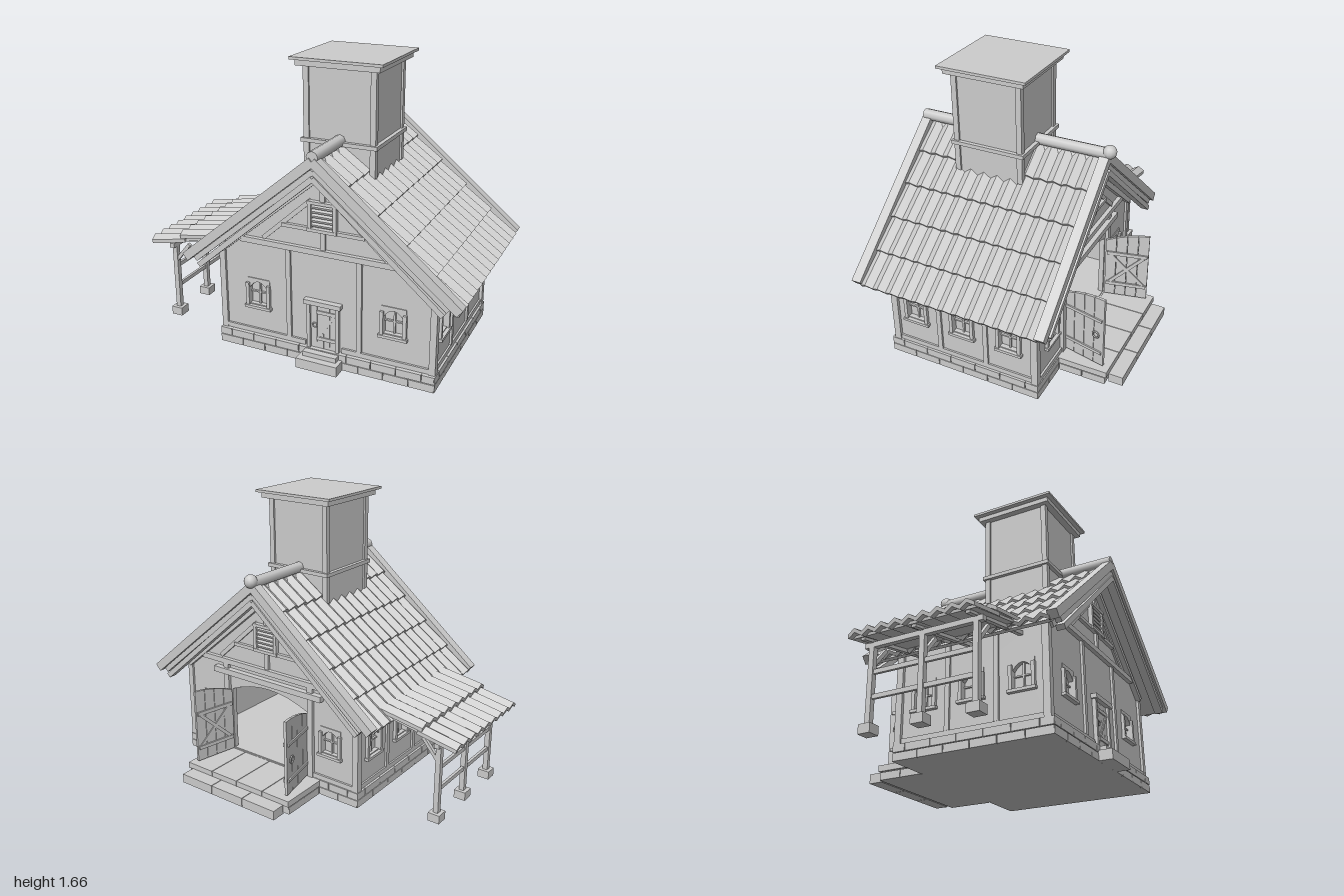
import * as THREE from 'three';

const stone = new THREE.MeshStandardMaterial({ color: 0xcccccc });
stone.name = 'pale grey';
const C = 0.195; // x of the house's centre line

function add(parent, name, geo) {
  const m = new THREE.Mesh(geo, stone);
  m.name = name;
  parent.add(m);
  return m;
}
function group(parent, name, x = 0, y = 0, z = 0, ry = 0) {
  const g = new THREE.Group();
  g.name = name;
  g.position.set(x, y, z);
  g.rotation.y = ry;
  parent.add(g);
  return g;
}
// box given by its extents
function box(p, name, x0, x1, y0, y1, z0, z1) {
  const m = add(p, name, new THREE.BoxGeometry(x1 - x0, y1 - y0, z1 - z0));
  m.position.set((x0 + x1) / 2, (y0 + y1) / 2, (z0 + z1) / 2);
  return m;
}
// slanted bar between two points of an upright plane
function bar(p, name, x1, y1, x2, y2, w, z0, z1) {
  const m = add(p, name, new THREE.BoxGeometry(Math.hypot(x2 - x1, y2 - y1), w, z1 - z0));
  m.position.set((x1 + x2) / 2, (y1 + y2) / 2, (z0 + z1) / 2);
  m.rotation.z = Math.atan2(y2 - y1, x2 - x1);
  return m;
}
function poly(pts) {
  return new THREE.Shape(pts.map(([x, y]) => new THREE.Vector2(x, y)));
}
function arch(x, half, y0, ySide, yTop) {
  const h = new THREE.Path();
  h.moveTo(x - half, y0);
  h.lineTo(x + half, y0);
  h.lineTo(x + half, ySide);
  h.quadraticCurveTo(x, 2 * yTop - ySide, x - half, ySide);
  h.lineTo(x - half, y0);
  return h;
}
function slab(p, name, shape, z0, z1) {
  const m = add(p, name, new THREE.ExtrudeGeometry(shape, { depth: z1 - z0, bevelEnabled: false, curveSegments: 8 }));
  m.position.z = z0;
  return m;
}

// arched window with frame, sill, mullions and a recessed pane
function addWindow(wall, x) {
  const g = group(wall, 'window', x);
  const face = poly([[-0.07, 0.265], [0.07, 0.265], [0.07, 0.43], [-0.07, 0.43]]);
  face.holes.push(arch(0, 0.055, 0.272, 0.37, 0.41));
  slab(g, 'windowFrame', face, 0, 0.005);
  box(g, 'windowPane', -0.06, 0.06, 0.265, 0.415, -0.028, -0.022);
  box(g, 'mullion', -0.005, 0.005, 0.27, 0.41, -0.022, -0.01);
  box(g, 'crossBar', -0.055, 0.055, 0.338, 0.346, -0.022, -0.01);
  for (const s of [-1, 1]) box(g, 'jamb', s * 0.065 - 0.01, s * 0.065 + 0.01, 0.265, 0.4, 0, 0.018);
  box(g, 'windowSill', -0.082, 0.082, 0.25, 0.266, -0.01, 0.025);
}

// wall slab with holes; local z = 0 is the outer face
function addWall(house, name, x, z, ry, outline, windows, holes = []) {
  const g = group(house, name, x, 0, z, ry);
  const shape = poly(outline);
  windows.forEach((w) => shape.holes.push(arch(w, 0.055, 0.272, 0.37, 0.41)));
  holes.forEach((h) => shape.holes.push(h));
  slab(g, name + 'Panel', shape, -0.03, 0);
  windows.forEach((w) => addWindow(g, w));
  return g;
}

// timber framing and louvred vent of a gable
function addGable(g) {
  box(g, 'tieBeam', -0.5, 0.5, 0.65, 0.682, -0.01, 0.025);
  box(g, 'collarBeam', -0.24, 0.24, 0.78, 0.8, 0, 0.02);
  box(g, 'kingPost', -0.014, 0.014, 0.68, 0.78, 0, 0.015);
  box(g, 'kingPost', -0.014, 0.014, 0.95, 1.12, 0, 0.015);
  for (const s of [-1, 1]) {
    bar(g, 'wallRafter', 0, 1.1, s * 0.62, 0.58, 0.03, 0, 0.03);
    bar(g, 'gableBrace', s * 0.07, 0.95, s * 0.36, 0.69, 0.025, 0, 0.012);
    box(g, 'ventSide', s * 0.073 - 0.01, s * 0.073 + 0.01, 0.79, 0.945, 0, 0.025);
  }
  box(g, 'ventTop', -0.085, 0.085, 0.935, 0.952, 0, 0.028);
  box(g, 'ventBottom', -0.085, 0.085, 0.782, 0.8, 0, 0.028);
  for (let i = 0; i < 5; i++) box(g, 'louvre', -0.065, 0.065, 0.811 + i * 0.025, 0.825 + i * 0.025, 0, 0.018).rotation.x = 0.4;
}

// corrugated tile course from (x0,y0) down to (x1,y1)
function tileRow(p, x0, y0, x1, y1, zMin, zMax, teeth) {
  const w = zMax - zMin, top = [], under = [];
  for (let i = 0; i <= teeth * 2; i++) {
    const u = -w / 2 + (w * i) / (teeth * 2), v = i % 2 ? 0.012 : -0.012;
    top.push([u, v]);
    under.unshift([u, v - 0.022]);
  }
  const d = new THREE.Vector3(x1 - x0, y1 - y0, 0), len = d.length();
  d.normalize();
  const n = new THREE.Vector3(-d.y, d.x, 0);
  if (n.y < 0) n.negate();
  const m = add(p, 'tileCourse', new THREE.ExtrudeGeometry(poly(top.concat(under)), { depth: len, bevelEnabled: false }));
  m.applyMatrix4(new THREE.Matrix4().makeBasis(n.clone().cross(d), n, d).setPosition(x0, y0, (zMin + zMax) / 2));
}

// row of blocks along x or z
function bricks(p, axis, a0, a1, b0, b1, y0, y1, n, shift) {
  const step = (a1 - a0) / n;
  for (let i = 0; i <= n; i++) {
    const s = Math.max(a0, a0 + (i - shift) * step), e = Math.min(a1, a0 + (i + 1 - shift) * step);
    if (e - s < 0.01) continue;
    if (axis === 'x') box(p, 'foundationBlock', s + 0.002, e - 0.002, y0, y1, b0, b1);
    else box(p, 'foundationBlock', b0, b1, y0, y1, s + 0.002, e - 0.002);
  }
}

export function createModel() {
  const model = new THREE.Group();
  model.name = 'timberHouse';
  const house = group(model, 'house', C);

  // foundation, rear porch and steps
  const base = group(house, 'foundation');
  box(base, 'floor', -0.638, 0.638, 0, 0.088, -0.334, 0.592);
  box(base, 'porchCore', -0.37, 0.37, 0, 0.07, -0.615, -0.33);
  [[0, 0.044, 0], [0.048, 0.09, 0.5]].forEach(([y0, y1, sh]) => {
    bricks(base, 'x', -0.645, 0.645, 0.56, 0.602, y0, y1, 9, sh);
    bricks(base, 'x', -0.645, -0.38, -0.342, -0.3, y0, y1, 2, sh);
    bricks(base, 'x', 0.38, 0.645, -0.342, -0.3, y0, y1, 2, sh);
    for (const s of [-1, 1]) {
      bricks(base, 'z', -0.342, 0.602, s * 0.628 - 0.019, s * 0.628 + 0.019, y0, y1, 6, sh);
      if (!sh) bricks(base, 'z', -0.62, -0.342, s * 0.36 - 0.02, s * 0.36 + 0.02, y0, y1, 2, sh);
    }
  });
  bricks(base, 'x', -0.38, 0.38, -0.62, -0.58, 0, 0.044, 5, 0);
  bricks(base, 'x', -0.385, 0.385, -0.63, -0.33, 0.05, 0.086, 4, 0);
  bricks(base, 'x', -0.35, 0.35, -0.715, -0.632, 0, 0.055, 3, 0);
  box(base, 'doorStep', -0.122, 0.122, 0, 0.058, 0.6, 0.68);
  box(base, 'doorThreshold', -0.1, 0.1, 0.058, 0.085, 0.57, 0.64);

  // walls
  const gable = [[-0.625, 0.088], [0.625, 0.088], [0.625, 0.63], [0, 1.15], [-0.625, 0.63]];
  const side = [[-0.445, 0.088], [0.445, 0.088], [0.445, 0.64], [-0.445, 0.64]];
  const front = addWall(house, 'frontWall', 0, 0.57, 0, gable, [-0.403, 0.403]);
  const back = addWall(house, 'backWall', 0, -0.325, Math.PI, gable, [-0.45, 0.45], [arch(0, 0.285, 0.092, 0.485, 0.55)]);
  const walls = [1, -1].map((s) => addWall(house, s > 0 ? 'leftWall' : 'rightWall', s * 0.625, 0.1225, (s * Math.PI) / 2,
    side, [-0.303, -0.008, 0.283].map((x) => x * s)));
  box(house, 'ceiling', -0.6, 0.6, 0.6, 0.62, -0.295, 0.54);
  for (const x of [-0.625, 0.625]) for (const z of [0.565, -0.318])
    box(house, 'cornerPost', x - 0.018, x + 0.018, 0.09, 0.64, z - 0.02, z + 0.02);
  for (const x of [-0.21, 0.21]) box(front, 'wallPost', x - 0.014, x + 0.014, 0.12, 0.65, 0, 0.014);
  for (const x of [-0.315, 0.315]) box(back, 'wallPost', x - 0.018, x + 0.018, 0.09, 0.65, 0, 0.02);
  box(back, 'lintel', -0.4, 0.4, 0.585, 0.62, 0, 0.035);
  for (const s of [-1, 1]) {
    box(front, 'sillPlate', s < 0 ? -0.61 : 0.11, s < 0 ? -0.11 : 0.61, 0.092, 0.12, 0, 0.012);
    box(back, 'sillPlate', s < 0 ? -0.61 : 0.32, s < 0 ? -0.32 : 0.61, 0.092, 0.12, 0, 0.012);
  }
  walls.forEach((w, i) => {
    const s = i ? -1 : 1;
    box(w, 'sillPlate', -0.43, 0.43, 0.092, 0.12, 0, 0.01);
    for (const x of [-0.155, 0.138]) box(w, 'wallPost', s * x - 0.014, s * x + 0.014, 0.12, 0.64, 0, 0.012);
  });
  addGable(front);
  addGable(back);

  // front door
  const door = group(front, 'frontDoor');
  for (let i = 0; i < 4; i++) box(door, 'doorPlank', -0.075 + i * 0.038, -0.039 + i * 0.038, 0.085, 0.36, 0, 0.008);
  for (const s of [-1, 1]) box(door, 'doorJamb', s * 0.086 - 0.01, s * 0.086 + 0.01, 0.085, 0.36, 0, 0.022);
  box(door, 'doorLintel', -0.11, 0.11, 0.357, 0.383, 0, 0.035);
  for (const y of [0.15, 0.31]) box(door, 'hingeStrap', -0.04, 0.075, y - 0.01, y + 0.01, 0.008, 0.015);
  bar(door, 'doorBrace', -0.03, 0.16, 0.065, 0.3, 0.016, 0.008, 0.013);
  add(door, 'doorRing', new THREE.TorusGeometry(0.013, 0.004, 6, 12)).position.set(-0.05, 0.23, 0.014);

  // open rear doors: planks with arched tops
  const topY = (u) => 0.545 - 0.06 * (1 - u / 0.27) ** 2;
  for (const s of [-1, 1]) {
    const leaf = group(back, 'rearDoor', s * 0.285, 0, 0.012, s * 1.78);
    for (let i = 0; i < 4; i++) {
      const a = i * 0.066 + 0.001, b = a + 0.063;
      const pts = [[-s * a, 0.095], [-s * b, 0.095], [-s * b, topY(b)], [-s * a, topY(a)]];
      slab(leaf, 'rearDoorPlank', poly(pts), -0.008, 0.008);
    }
    for (const y of [0.18, 0.4]) {
      bar(leaf, 'rearDoorStrap', 0, y, -s * 0.25, y, 0.018, 0.008, 0.016);
      bar(leaf, 'rearDoorBatten', -s * 0.01, y, -s * 0.255, y, 0.022, -0.018, -0.008);
    }
    bar(leaf, 'rearDoorBrace', -s * 0.03, 0.19, -s * 0.235, 0.39, 0.02, -0.016, -0.008);
    bar(leaf, 'rearDoorBrace', -s * 0.03, 0.39, -s * 0.235, 0.19, 0.02, -0.015, -0.008);
    add(leaf, 'rearDoorRing', new THREE.TorusGeometry(0.02, 0.005, 6, 12)).position.set(-s * 0.215, 0.3, 0.016);
  }

  // main roof
  const roof = group(house, 'roof');
  for (const s of [-1, 1]) {
    for (let i = 0; i < 5; i++) {
      const a = i / 5, b = (i + 1) / 5;
      tileRow(roof, s * 0.79 * a, 1.2 - 0.66 * a, s * (0.79 * b + 0.012), 1.212 - 0.66 * b, -0.405, 0.66, 13);
    }
    bar(roof, 'roofDeck', 0, 1.165, s * 0.76, 0.53, 0.016, -0.4, 0.655);
    for (const [z0, z1] of [[0.652, 0.708], [-0.456, -0.4]]) {
      bar(roof, 'bargeBoard', 0, 1.205, s * 0.79, 0.545, 0.05, z0, z1);
      bar(roof, 'innerBargeBoard', 0, 1.15, s * 0.73, 0.54, 0.03, z0 + 0.012, z1 - 0.012);
      bar(roof, 'lowerBargeBoard', 0, 1.115, s * 0.705, 0.51, 0.03, z0 + 0.004, z1 - 0.004);
    }
  }
  const ridge = add(roof, 'ridgeBeam', new THREE.CylinderGeometry(0.033, 0.033, 1.15, 8));
  ridge.rotation.x = Math.PI / 2;
  ridge.position.set(0, 1.226, 0.125);
  add(roof, 'ridgeBall', new THREE.SphereGeometry(0.039, 12, 8)).position.set(0, 1.237, -0.45);

  // tower
  const tower = group(house, 'tower', 0, 0, 0.173);
  box(tower, 'towerBody', -0.197, 0.197, 1.0, 1.615, -0.197, 0.197);
  for (const x of [-0.192, 0.192]) for (const z of [-0.192, 0.192])
    box(tower, 'towerPost', x - 0.016, x + 0.016, 1.04, 1.615, z - 0.016, z + 0.016);
  box(tower, 'towerBand', -0.22, 0.22, 1.2, 1.222, -0.22, 0.22);
  box(tower, 'towerCornice', -0.238, 0.238, 1.612, 1.64, -0.238, 0.238);
  box(tower, 'towerCap', -0.262, 0.262, 1.645, 1.66, -0.262, 0.262);
  box(tower, 'towerCapCore', -0.225, 0.225, 1.635, 1.65, -0.225, 0.225);

  // side shelter
  const shelter = group(model, 'shelter');
  tileRow(shelter, -0.52, 0.61, -0.79, 0.565, -0.24, 0.48, 9);
  tileRow(shelter, -0.76, 0.545, -0.996, 0.5, -0.24, 0.48, 9);
  bar(shelter, 'shelterDeck', -0.55, 0.565, -0.96, 0.482, 0.015, -0.23, 0.47);
  const posts = [-0.18, 0.12, 0.42];
  for (const z of posts) {
    box(shelter, 'shelterPost', -0.88, -0.85, 0.05, 0.485, z - 0.015, z + 0.015);
    box(shelter, 'postFoot', -0.9, -0.83, 0, 0.05, z - 0.035, z + 0.035);
    bar(shelter, 'postBrace', -0.86, 0.36, -0.765, 0.475, 0.02, z - 0.01, z + 0.01);
    bar(shelter, 'shelterRafter', -0.43, 0.57, -0.95, 0.473, 0.022, z - 0.012, z + 0.012);
  }
  box(shelter, 'shelterBeam', -0.88, -0.85, 0.45, 0.478, -0.22, 0.46);
  for (const y of [0.19, 0.32]) box(shelter, 'shelterRail', -0.873, -0.857, y - 0.012, y + 0.012, -0.18, 0.42);

  return model;
}
